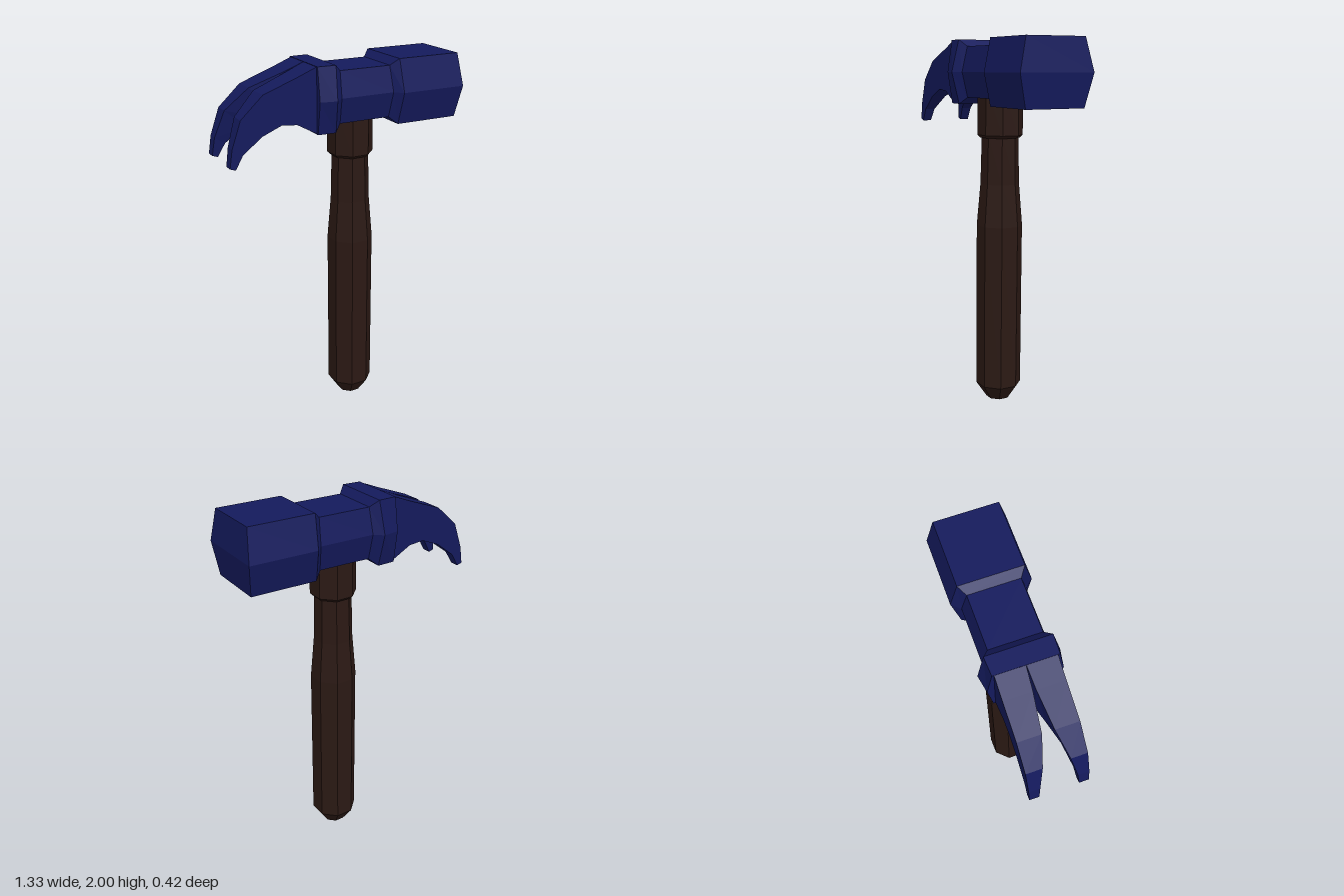
import * as THREE from 'three';

// Skin a list of rings (ordered by rising x) and close both ends with strips.
function loft(rings) {
  const n = rings[0].length;
  const pos = [];
  const quad = (a, b, c, d) => pos.push(...a, ...b, ...c, ...a, ...c, ...d);
  for (let j = 0; j < rings.length - 1; j++) {
    const r = rings[j], s = rings[j + 1];
    for (let i = 0; i < n; i++) {
      const k = (i + 1) % n;
      quad(r[i], r[k], s[k], s[i]);
    }
  }
  const first = rings[0], last = rings[rings.length - 1];
  for (let i = 0; i < n / 2 - 1; i++) {
    quad(last[i], last[i + 1], last[n - 2 - i], last[n - 1 - i]);
    quad(first[n - 1 - i], first[n - 2 - i], first[i + 1], first[i]);
  }
  const geometry = new THREE.BufferGeometry();
  geometry.setAttribute('position', new THREE.Float32BufferAttribute(pos, 3));
  geometry.computeVertexNormals();
  return geometry;
}

// Six-sided section: flat top and bottom, a ridge at mid height on each side.
function hexRing([x, midX, halfHeight, halfTop, halfMid]) {
  const cy = 1.828, top = cy + halfHeight, bottom = cy - halfHeight;
  return [
    [x, top, halfTop], [midX, cy, halfMid], [x, bottom, halfTop],
    [x, bottom, -halfTop], [midX, cy, -halfMid], [x, top, -halfTop],
  ];
}

export function createModel() {
  const model = new THREE.Group();
  model.name = 'hammer';
  const steel = new THREE.MeshStandardMaterial({ color: 0x141a5c, flatShading: true });
  const wood = new THREE.MeshStandardMaterial({ color: 0x2b1914, flatShading: true });
  const add = (parent, name, geometry, material) => {
    const mesh = new THREE.Mesh(geometry, material);
    mesh.name = name;
    parent.add(mesh);
    return mesh;
  };

  // Head, turned very slightly on the handle
  const head = new THREE.Group();
  head.name = 'head';
  head.position.z = -0.008;
  head.rotation.y = -0.019;
  model.add(head);

  // Collar, neck and striking block: x, ridge x, half height, half top, half ridge
  const sections = [
    [-0.19, -0.19, 0.172, 0.16, 0.187],
    [-0.09, -0.10, 0.172, 0.165, 0.203],
    [-0.05, -0.055, 0.136, 0.133, 0.163],
    [0.24, 0.25, 0.136, 0.133, 0.163],
    [0.28, 0.29, 0.172, 0.165, 0.206],
    [0.64, 0.66, 0.172, 0.165, 0.206],
  ];
  add(head, 'headBlock', loft(sections.map(hexRing)), steel);

  // Claws: upper x, upper y, lower x, lower y, half gap between the pair
  const clawSections = [
    [-0.665, 1.545, -0.635, 1.535, 0.1],
    [-0.65, 1.64, -0.595, 1.605, 0.093],
    [-0.6, 1.78, -0.49, 1.685, 0.067],
    [-0.48, 1.89, -0.385, 1.728, 0.03],
    [-0.3, 1.955, -0.3, 1.72, 0.008],
    [-0.185, 2.0, -0.185, 1.657, 0],
  ];
  for (const side of [1, -1]) {
    const rings = clawSections.map(([ux, uy, lx, ly, gap]) => {
      const hi = side > 0 ? 0.15 : -gap;
      const lo = side > 0 ? gap : -0.15;
      return [[ux, uy, hi], [lx, ly, hi], [lx, ly, lo], [ux, uy, lo]];
    });
    add(head, side > 0 ? 'frontClaw' : 'backClaw', loft(rings), steel);
  }

  // Eight-sided handle and socket, leaning slightly backwards
  const handle = new THREE.Group();
  handle.name = 'handle';
  handle.position.set(0.081, 0, 0.006);
  handle.rotation.x = -0.007;
  model.add(handle);

  // Profile points are [half width across flats, height]
  const octagon = (profile) => new THREE.LatheGeometry(
    profile.map(([r, y]) => new THREE.Vector2(r / Math.cos(Math.PI / 8), y)),
    8, Math.PI / 8);
  add(handle, 'grip', octagon([
    [0, 0], [0.062, 0.003], [0.116, 0.087], [0.116, 1.0], [0.098, 1.23], [0.092, 1.5],
  ]), wood);
  add(handle, 'socket', octagon([
    [0, 1.48], [0.1, 1.48], [0.114, 1.495], [0.113, 1.75], [0, 1.75],
  ]), wood);

  return model;
}
